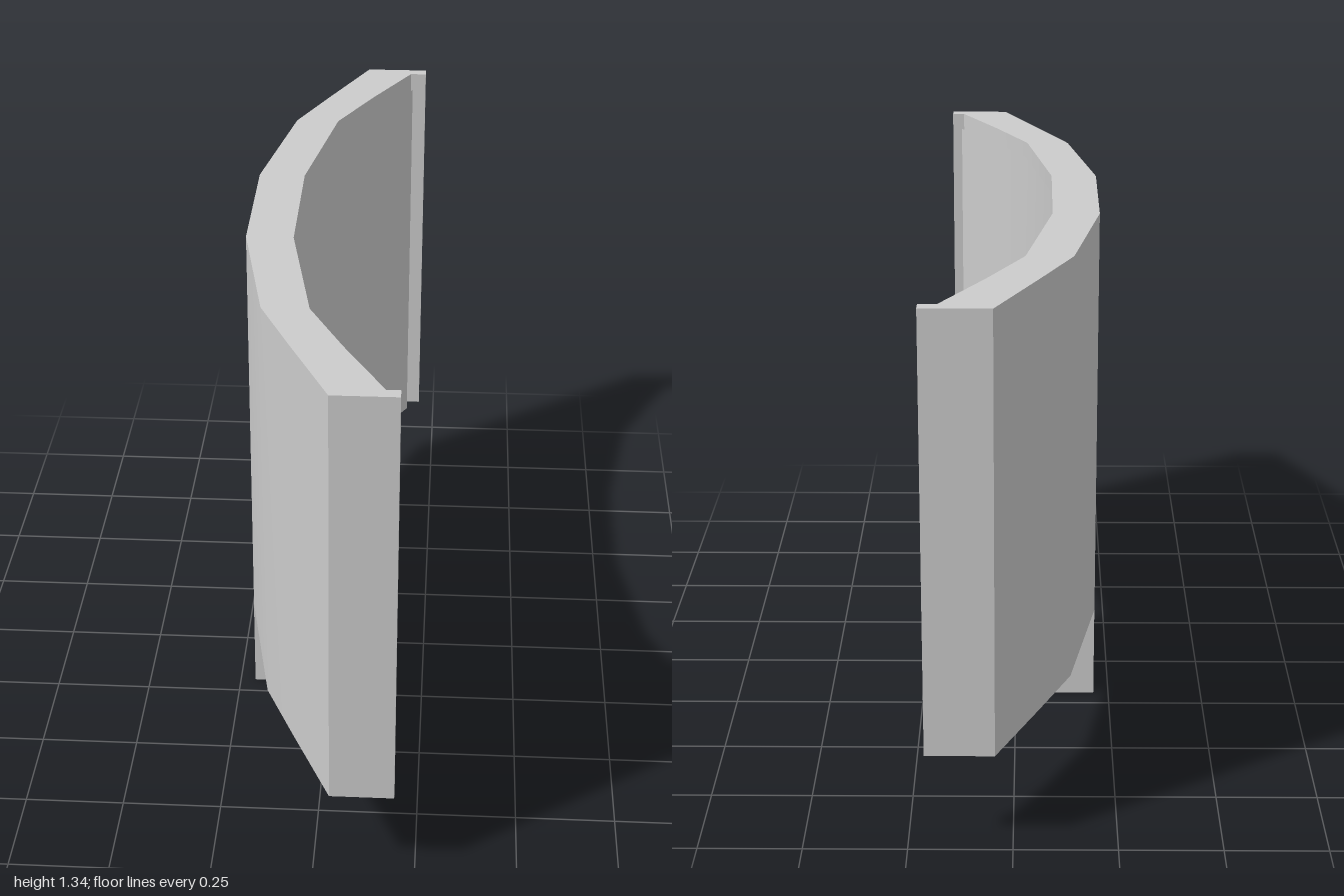
import * as THREE from 'three';
import { toCreasedNormals } from 'three/addons/utils/BufferGeometryUtils.js';

const material = new THREE.MeshStandardMaterial({ color: 0xcccccc });
const sheetMaterial = new THREE.MeshStandardMaterial({ color: 0xcccccc, side: THREE.DoubleSide });

function addMesh(group, name, geometry, mat = material) {
  const mesh = new THREE.Mesh(geometry, mat);
  mesh.name = name;
  group.add(mesh);
  return mesh;
}

// Extrudes an outline of [x, z] points upward from y0 to y1
function prism(points, y0, y1) {
  const shape = new THREE.Shape(points.map(([x, z]) => new THREE.Vector2(x, -z)));
  const geometry = new THREE.ExtrudeGeometry(shape, { depth: y1 - y0, bevelEnabled: false });
  geometry.rotateX(-Math.PI / 2).translate(0, y0, 0);
  return toCreasedNormals(geometry, 0.6);
}

// Box from its minimum and maximum corners
function box(a, b) {
  return new THREE.BoxGeometry(b[0] - a[0], b[1] - a[1], b[2] - a[2])
    .translate((a[0] + b[0]) / 2, (a[1] + b[1]) / 2, (a[2] + b[2]) / 2);
}

// Mirrors a half curve, given from the middle outward, into a whole one from -z to +z
const mirrored = (half) => [...half.map(([x, z]) => [x, -z]).reverse(), ...half];

export function createModel() {
  const model = new THREE.Group();
  model.name = 'curvedMonitor';

  // Curved housing with a small lip at each end
  const back = mirrored([[-0.21, 0.195], [-0.14, 0.585], [-0.06, 0.77], [0.042, 1]]);
  const front = mirrored([[-0.092, 0.195], [-0.026, 0.585], [0.062, 0.77], [0.165, 0.968]]);
  const outline = [
    ...back, [0.198, 1], [0.198, 0.968],
    ...front.reverse(), [0.208, -0.968], [0.208, -1],
  ];
  addMesh(model, 'housing', prism(outline, 0.25, 1.34));

  // Thin display sheet just in front of the housing's inner curve
  const curve = mirrored([[-0.088, 0.195], [-0.02, 0.585], [0.07, 0.77], [0.171, 0.945]]).reverse();
  const sheet = new THREE.PlaneGeometry(1, 1, curve.length - 1, 1);
  const pos = sheet.attributes.position;
  for (let i = 0; i < pos.count; i++) {
    const [x, z] = curve[i % curve.length];
    pos.setXYZ(i, x, pos.getY(i) > 0 ? 1.3 : 0.238, z);
  }
  sheet.computeVertexNormals();
  addMesh(model, 'screen', sheet, sheetMaterial);

  // L-shaped stand
  const stand = new THREE.Group();
  stand.name = 'stand';
  addMesh(stand, 'standUpright', box([-0.21, 0, -0.19], [-0.092, 0.25, 0.198]));
  addMesh(stand, 'standFoot', box([-0.092, 0, -0.19], [0.098, 0.045, 0.198]));
  model.add(stand);

  return model;
}
